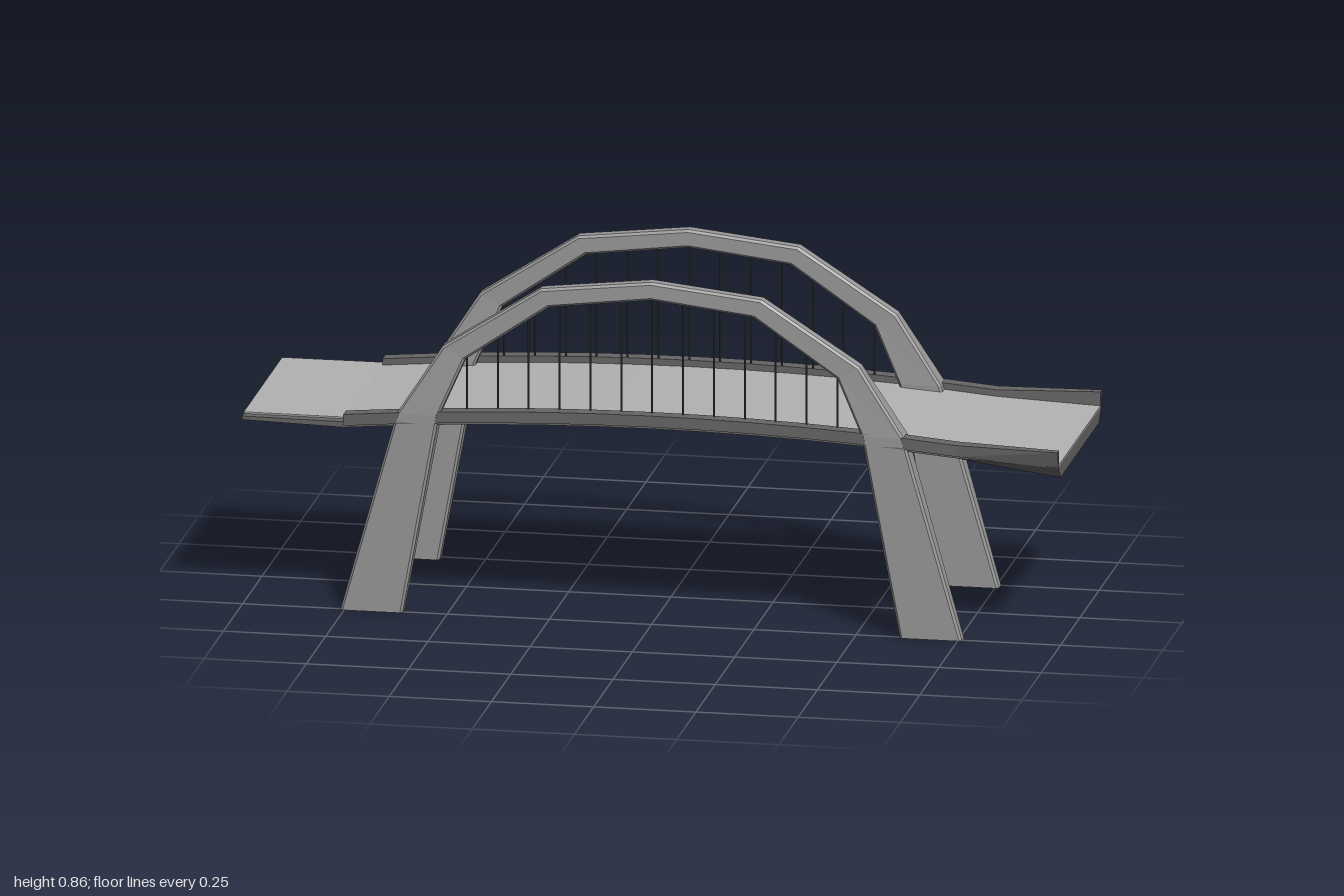
import * as THREE from 'three';

const grey = color => new THREE.MeshStandardMaterial({ color, flatShading: true });
const archMat = grey(0x9a9a9a), roadMat = grey(0xb2b2b2), darkMat = grey(0x666666), cableMat = grey(0x444444);

// Skin a list of convex rings of [x, y, z] points and cap both ends
function loft(name, mat, rings) {
  const pos = [], n = rings[0].length;
  const tri = (a, b, c) => pos.push(...a, ...b, ...c);
  for (let s = 0; s < rings.length - 1; s++) {
    for (let i = 0; i < n; i++) {
      const j = (i + 1) % n;
      const a = rings[s][i], b = rings[s][j], c = rings[s + 1][j], d = rings[s + 1][i];
      tri(a, b, d);
      tri(b, c, d);
    }
  }
  const first = rings[0], last = rings[rings.length - 1];
  for (let i = 1; i < n - 1; i++) {
    tri(first[0], first[i + 1], first[i]);
    tri(last[0], last[i], last[i + 1]);
  }
  const g = new THREE.BufferGeometry();
  g.setAttribute('position', new THREE.Float32BufferAttribute(pos, 3));
  g.computeVertexNormals();
  const m = new THREE.Mesh(g, mat);
  m.name = name;
  return m;
}

// Trapezoid ring across the bridge
const band = (x, top, bot, t0, t1, b0 = t0, b1 = t1) =>
  [[x, top, t0], [x, top, t1], [x, bot, b1], [x, bot, b0]];

// Road surface height on the cambered span
const SPAN = 0.75, ROAD = 0.004;
const camber = x => 0.475 + 0.035 * (1 - (x / SPAN) ** 2);
const spanXs = Array.from({ length: 13 }, (_, i) => -SPAN + i * SPAN / 6);

// Half arch, foot to crown: outer x, y, inner x, y, half thickness
const HALF = [
  [-0.76, 0, -0.608, 0, 0.0185],
  [-0.62, 0.5, -0.517, 0.5, 0.03],
  [-0.51, 0.67, -0.455, 0.64, 0.0205],
  [-0.27, 0.825, -0.25, 0.78, 0.0185],
];
const ARCH = [...HALF, [0, 0.855, 0, 0.81, 0.0185],
  ...HALF.slice().reverse().map(([a, b, c, d, w]) => [-a, b, -c, d, w])];

function arch(name, z0) {
  return loft(name, archMat, ARCH.map(([ox, oy, ix, iy, w]) => {
    const c = 0.006, k = c / Math.hypot(ox - ix, oy - iy);
    const p = (t, z) => [ix + (ox - ix) * t, iy + (oy - iy) * t, z0 + z];
    return [p(1, c - w), p(1, w - c), p(1 - k, w), p(k, w),
      p(0, w - c), p(0, c - w), p(k, -w), p(1 - k, -w)];
  }));
}

// Underside height of the arch at x
function archUnderside(x) {
  const i = ARCH.findIndex(p => p[2] > x);
  const [, , x0, y0] = ARCH[i - 1], [, , x1, y1] = ARCH[i];
  return y0 + (y1 - y0) * (x - x0) / (x1 - x0);
}

export function createModel() {
  const model = new THREE.Group();
  model.name = 'archBridge';

  // Dark deck body: thin approach on one end, flared and deeper on the other
  model.add(loft('deck', darkMat, [
    band(-1, 0.475 - ROAD, 0.462, -0.26, 0.26),
    ...spanXs.map(x => band(x, camber(x) - ROAD, camber(x) - 0.018, -0.265, 0.265)),
    band(1, 0.455 - ROAD, 0.418, -0.28, 0.28, -0.25, 0.25),
  ]));

  // Lighter road surface, leaving a dark margin along the front of the thin approach
  model.add(loft('roadSurface', roadMat, [
    band(-1, 0.475, 0.475 - ROAD, -0.26, 0.236),
    ...spanXs.map(x => band(x, camber(x), camber(x) - ROAD, -0.262, 0.238)),
    band(1, 0.455, 0.455 - ROAD, -0.27, 0.27),
  ]));

  // Central girder under the span
  model.add(loft('girder', darkMat, spanXs.map(x =>
    band(x, camber(x) - 0.015, camber(x) - 0.072, -0.045, 0.045, -0.022, 0.022))));

  for (const s of [1, -1]) {
    const side = new THREE.Group();
    side.name = s > 0 ? 'frontSide' : 'backSide';
    const z0 = s * 0.2405 + 0.002;

    // Kerb along the deck edge, splaying outward at the approach
    const kerb = (x, top, bot, zin, zout, low = zout) => s > 0
      ? band(x, top, bot, zin, zout, zin, low)
      : band(x, top, bot, -zout, -zin, -low, -zin);
    side.add(loft('kerb', darkMat, [
      ...spanXs.map(x => kerb(x, camber(x) + 0.016, camber(x) - 0.012, 0.236, 0.272)),
      kerb(1, 0.49, 0.448, 0.268, 0.288, 0.278),
    ]));

    side.add(arch('arch', z0));

    // Hanger cables
    for (let i = -6; i <= 6; i++) {
      const x = i * 0.0755, top = archUnderside(x) + 0.008, bot = camber(x);
      const h = new THREE.Mesh(new THREE.CylinderGeometry(0.0025, 0.0025, top - bot, 6), cableMat);
      h.name = 'hanger';
      h.position.set(x, (top + bot) / 2, z0);
      side.add(h);
    }
    model.add(side);
  }
  return model;
}
